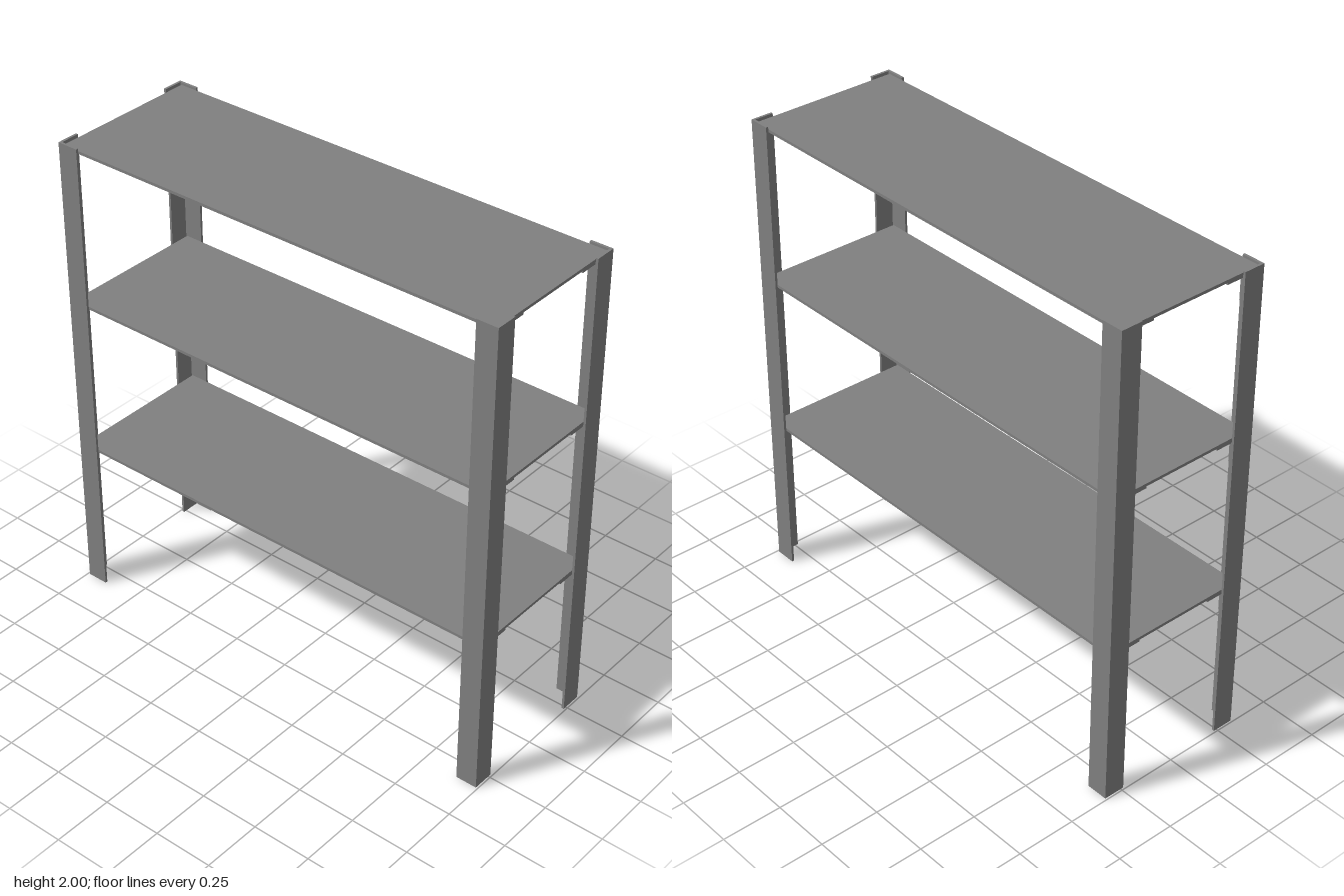
import * as THREE from 'three';

export function createModel() {
  const steel = new THREE.MeshStandardMaterial({ color: 0x808080 });
  steel.name = 'greySteel';

  const model = new THREE.Group();
  model.name = 'shelvingUnit';

  const X = 0.992, Z = 0.327;      // outer corner of the posts
  const flange = 0.09, wall = 0.01; // angle profile
  const shelfTops = [0.663, 1.327, 1.99], shelfThickness = 0.012;

  function box(name, parent, x0, x1, y0, y1, z0, z1) {
    const mesh = new THREE.Mesh(new THREE.BoxGeometry(Math.abs(x1 - x0), y1 - y0, Math.abs(z1 - z0)), steel);
    mesh.position.set((x0 + x1) / 2, (y0 + y1) / 2, (z0 + z1) / 2);
    mesh.name = name;
    parent.add(mesh);
  }

  // L-section post, outer corner at (sx * X, sz * Z)
  function post(name, sx, sz) {
    const points = [
      [X, Z], [X - flange, Z], [X - flange, Z - wall],
      [X - wall, Z - wall], [X - wall, Z - flange], [X, Z - flange],
    ].map(([x, z]) => new THREE.Vector2(sx * x, -sz * z));
    const geometry = new THREE.ExtrudeGeometry(new THREE.Shape(points), { depth: 2, bevelEnabled: false });
    geometry.rotateX(-Math.PI / 2);
    const mesh = new THREE.Mesh(geometry, steel);
    mesh.name = name;
    model.add(mesh);
  }

  // Angle bracket under a shelf corner, with a raised rib on each leg
  function bracket(sx, sz, top) {
    const group = new THREE.Group();
    group.name = 'shelfBracket';
    const zIn = Z - wall, t = 0.008;
    const xa = sx * 0.907, xb = sx * 0.977;
    const ra = sx * 0.924, rb = sx * 0.96;
    box('bracketTopLeg', group, xa, xb, top - t, top, sz * 0.17, sz * zIn);
    box('bracketPostLeg', group, xa, xb, top - 0.15, top - t, sz * (zIn - t), sz * zIn);
    box('topLegRib', group, ra, rb, top - t - 0.008, top - t, sz * 0.18, sz * 0.225);
    box('postLegRib', group, ra, rb, top - 0.135, top - 0.04, sz * (zIn - t - 0.007), sz * (zIn - t));
    model.add(group);
  }

  for (const top of shelfTops) {
    box('shelf', model, -0.977, 0.977, top - shelfThickness, top, -0.317, 0.317);
  }

  for (const sx of [-1, 1]) {
    for (const sz of [-1, 1]) {
      post((sz > 0 ? 'front' : 'back') + (sx > 0 ? 'Left' : 'Right') + 'Post', sx, sz);
      for (const top of shelfTops) bracket(sx, sz, top - shelfThickness);
    }
  }

  return model;
}
